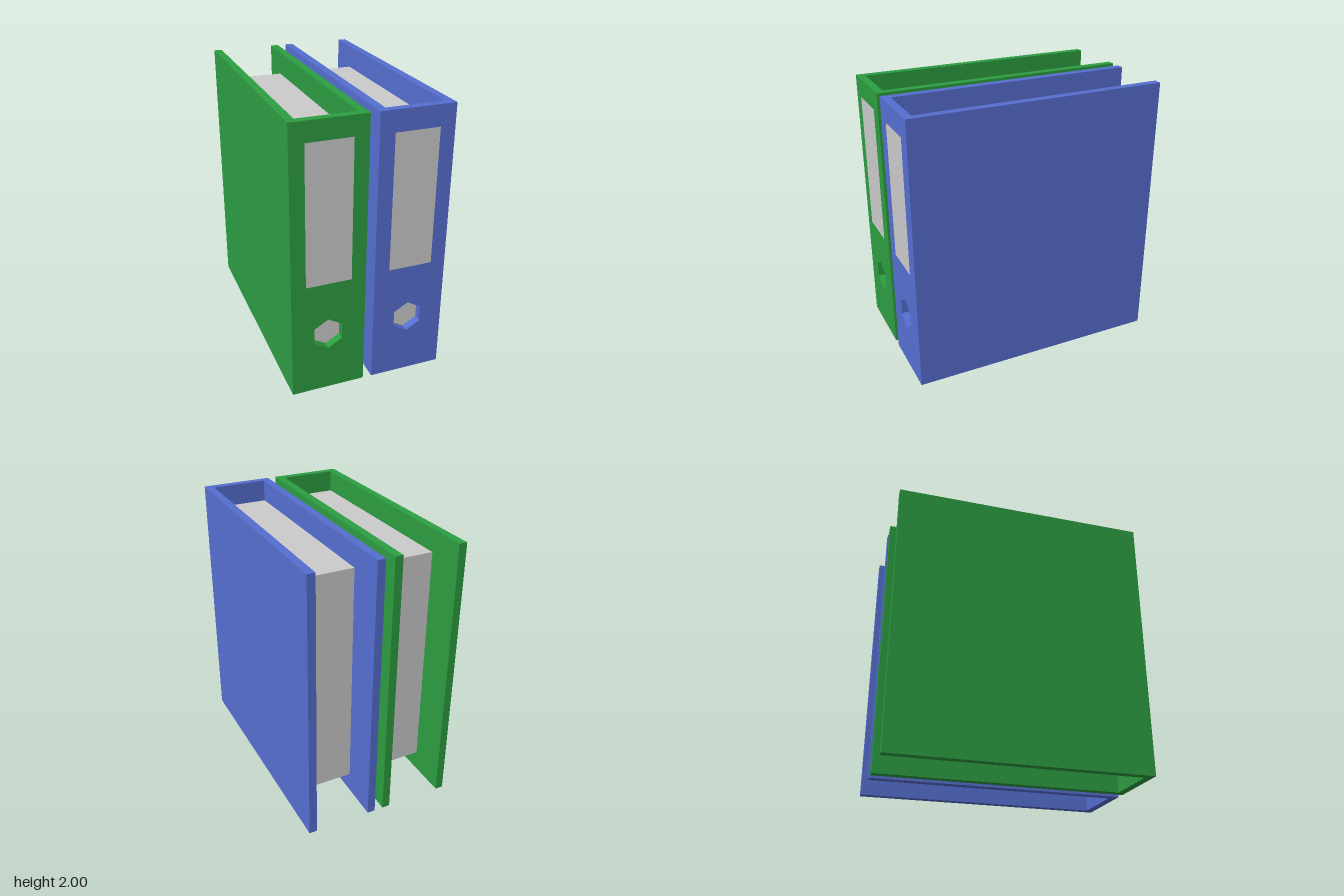
import * as THREE from 'three';

const HEIGHT = 2, WIDTH = 0.53, DEPTH = 1.87, WALL = 0.058;
const FRONT = DEPTH / 2;

const grey = new THREE.MeshStandardMaterial({ color: 0xcccccc });
const labelGrey = new THREE.MeshStandardMaterial({ color: 0xcccccc, side: THREE.DoubleSide });

function addMesh(group, name, geometry, material, x, y, z) {
  const mesh = new THREE.Mesh(geometry, material);
  mesh.name = name;
  mesh.position.set(x, y, z);
  group.add(mesh);
}

// Front plate with a hexagonal finger hole
function spineGeometry(holeX) {
  const w = WIDTH / 2;
  const shape = new THREE.Shape([
    new THREE.Vector2(-w, 0), new THREE.Vector2(w, 0),
    new THREE.Vector2(w, HEIGHT), new THREE.Vector2(-w, HEIGHT),
  ]);
  const hole = [];
  for (let i = 0; i < 6; i++) {
    const a = Math.PI / 2 - i * Math.PI / 3;
    hole.push(new THREE.Vector2(holeX + 0.117 * Math.cos(a), 0.45 + 0.117 * Math.sin(a)));
  }
  shape.holes.push(new THREE.Path(hole));
  return new THREE.ExtrudeGeometry(shape, { depth: WALL, bevelEnabled: false });
}

function createBinder({ name, color, x, labelWidth, labelHeight }) {
  const binder = new THREE.Group();
  binder.name = name;
  binder.position.x = x;
  const cover = new THREE.MeshStandardMaterial({ color });

  addMesh(binder, 'spine', spineGeometry(-0.003), cover, 0, 0, FRONT - WALL);

  // Side covers, open at the top, bottom and back
  const sideGeometry = new THREE.BoxGeometry(WALL, HEIGHT, DEPTH - WALL);
  for (const [side, label] of [[-1, 'rightCover'], [1, 'leftCover']]) {
    addMesh(binder, label, sideGeometry, cover, side * (WIDTH - WALL) / 2, HEIGHT / 2, -WALL / 2);
  }

  // Paper stack, resting against the right cover
  addMesh(binder, 'paper', new THREE.BoxGeometry(0.398, 1.69, 1.52), grey,
    -WIDTH / 2 + WALL + 0.2, 0.995, 0.11);

  // Spine label
  addMesh(binder, 'label', new THREE.PlaneGeometry(labelWidth, labelHeight), labelGrey,
    0, 1.355, FRONT + 0.001);
  return binder;
}

export function createModel() {
  const model = new THREE.Group();
  model.name = 'ringBinders';
  model.add(
    createBinder({ name: 'greenBinder', color: 0x2c9e41, x: -0.299, labelWidth: 0.324, labelHeight: 1.01 }),
    createBinder({ name: 'blueBinder', color: 0x566fd1, x: 0.297, labelWidth: 0.316, labelHeight: 0.99 }),
  );
  return model;
}
